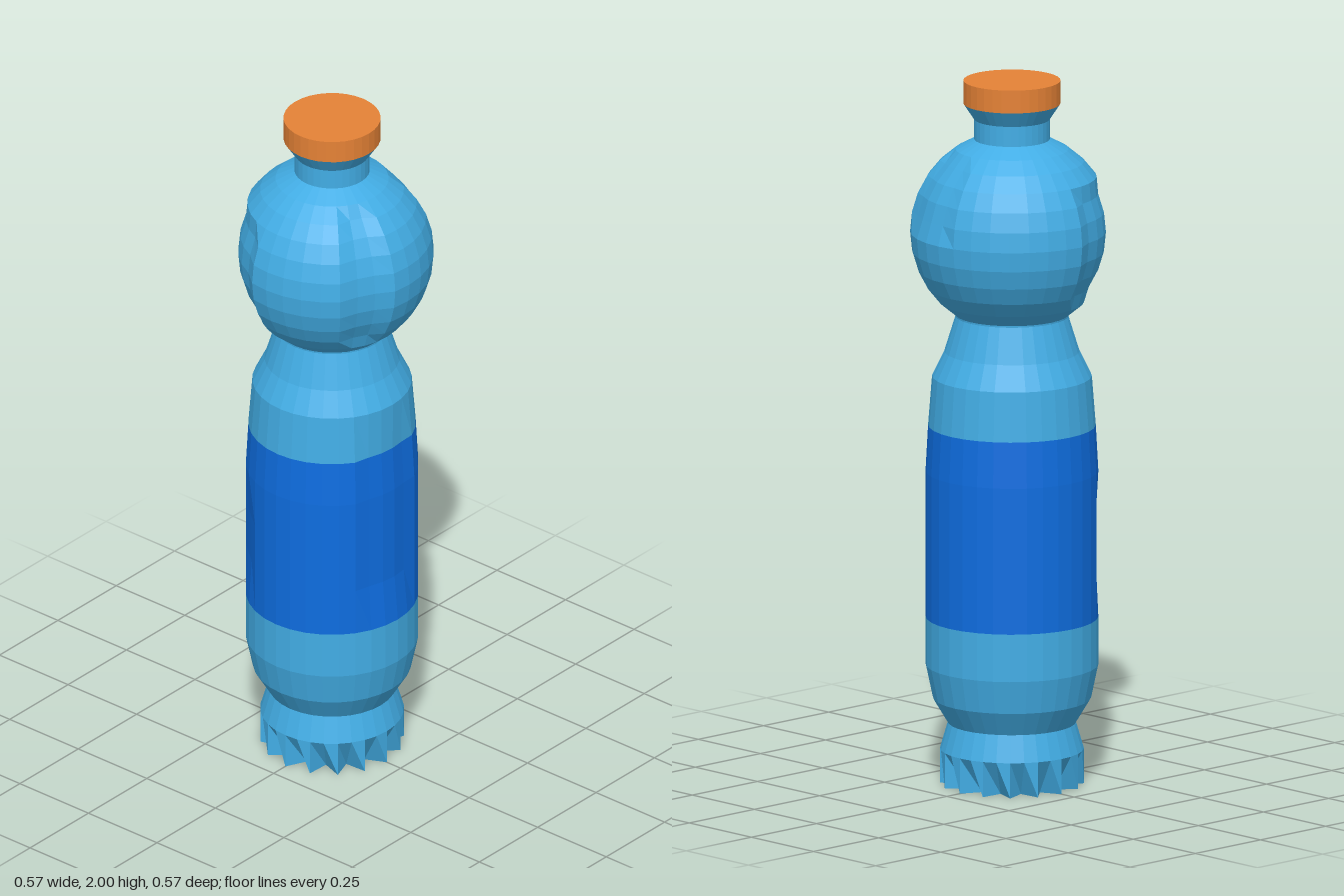
import * as THREE from 'three';

const SIDES = 32;
const BLUE = 0x42ade5, LABEL = 0x0e6de0, ORANGE = 0xe58236;

// Shallow dents: angle from the front towards +x (degrees), height, half extents, depth
const DENTS = [
  { angle: -52, y: 1.56, da: 30, dy: 0.16, depth: 0.022 },
  { angle: 62, y: 1.58, da: 14, dy: 0.2, depth: 0.02 },
  { angle: 160, y: 1.7, da: 24, dy: 0.1, depth: 0.012 },
  { angle: 84, y: 0.82, da: 26, dy: 0.24, depth: 0.012 },
  { angle: -40, y: 0.7, da: 14, dy: 0.14, depth: 0.008 },
];

function dent(geometry) {
  const p = geometry.attributes.position;
  for (let i = 0; i < p.count; i++) {
    const x = p.getX(i), y = p.getY(i), z = p.getZ(i), r = Math.hypot(x, z);
    if (r < 0.12) continue;
    const a = THREE.MathUtils.radToDeg(Math.atan2(x, z));
    let push = 0;
    for (const d of DENTS) {
      if (Math.abs(a - d.angle) < d.da && Math.abs(y - d.y) < d.dy) push = d.depth;
    }
    p.setX(i, x * (1 - push / r));
    p.setZ(i, z * (1 - push / r));
  }
}

function turned(name, profile, color, rule) {
  const points = profile.map(([r, y]) => new THREE.Vector2(r, y));
  const geometry = new THREE.LatheGeometry(points, SIDES);
  if (rule) rule(geometry);
  geometry.computeVertexNormals();
  const mesh = new THREE.Mesh(geometry, new THREE.MeshStandardMaterial({ color, flatShading: true }));
  mesh.name = name;
  return mesh;
}

// Pull every other corner of the bottom rim inwards to make pointed teeth
function notch(geometry) {
  const p = geometry.attributes.position;
  for (let i = 0; i < p.count; i++) {
    if (p.getY(i) > 0.01) continue;
    const step = Math.round(Math.atan2(p.getX(i), p.getZ(i)) / (2 * Math.PI / SIDES));
    if (step % 2 === 0) continue;
    p.setX(i, p.getX(i) * 0.72);
    p.setZ(i, p.getZ(i) * 0.72);
  }
}

export function createModel() {
  const group = new THREE.Group();
  group.name = 'bottle';

  // Toothed foot and collar
  group.add(turned('toothedBase', [[0, 0], [0.2, 0], [0.2, 0.1]], BLUE, notch));
  group.add(turned('baseCollar', [[0.2, 0.1], [0.178, 0.175]], BLUE));

  // Body with the label band in the middle
  group.add(turned('lowerBody', [[0.178, 0.175], [0.22, 0.245], [0.24, 0.34], [0.24, 0.475]], BLUE));
  group.add(turned('labelBand',
    [[0.24, 0.475], [0.24, 0.61], [0.24, 0.75], [0.24, 0.89], [0.233, 1.02]], LABEL, dent));
  group.add(turned('shoulder', [[0.233, 1.02], [0.222, 1.16], [0.188, 1.23], [0.157, 1.33]], BLUE, dent));

  // Round bulb, cut off where it meets the shoulder and the neck
  const bulb = [[0.157, 1.33]];
  for (let i = 0; i <= 10; i++) {
    const t = (i - 5) * Math.PI / 16;
    bulb.push([0.283 * Math.cos(t), 1.57 + 0.283 * Math.sin(t)]);
  }
  bulb.push([0.105, 1.833]);
  group.add(turned('bulb', bulb, BLUE, dent));

  // Neck and cap
  group.add(turned('neck', [[0.105, 1.833], [0.105, 1.89], [0.135, 1.935]], BLUE));
  group.add(turned('cap', [[0, 1.935], [0.135, 1.935], [0.135, 2], [0, 2]], ORANGE));
  return group;
}
